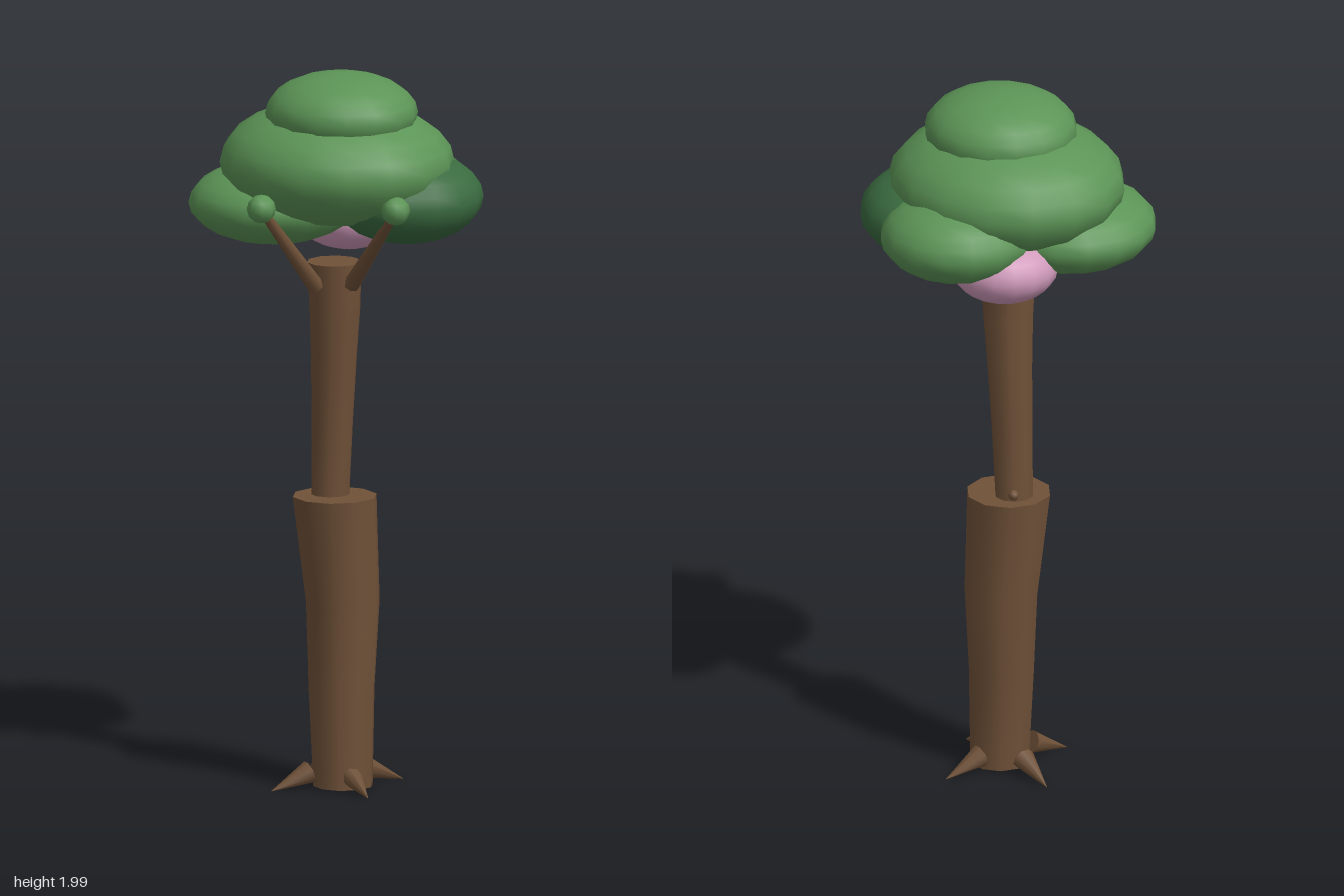
import * as THREE from 'three';
import { toCreasedNormals } from 'three/addons/utils/BufferGeometryUtils.js';

const paint = (name, color) => {
  const m = new THREE.MeshStandardMaterial({ color });
  m.name = name;
  return m;
};

export function createModel() {
  const tree = new THREE.Group();
  tree.name = 'tree';
  const bark = paint('bark brown', 0x6f5138);
  const leaf = paint('leaf green', 0x5c9456);
  const darkLeaf = paint('dark leaf green', 0x3a6b40);
  const blossom = paint('blossom pink', 0xd09abb);

  const add = (name, geometry, material) => {
    const mesh = new THREE.Mesh(geometry, material);
    mesh.name = name;
    tree.add(mesh);
    return mesh;
  };

  // Crooked log through rings of [x, y, z, radius]
  const log = (name, rings) => {
    const n = rings.length - 1;
    const geo = new THREE.CylinderGeometry(1, 1, 1, 10, n);
    const p = geo.attributes.position;
    for (let i = 0; i < p.count; i++) {
      const [x, y, z, r] = rings[Math.round((p.getY(i) + 0.5) * n)];
      p.setXYZ(i, x + p.getX(i) * r, y, z + p.getZ(i) * r);
    }
    return add(name, toCreasedNormals(geo, 0.9), bark);
  };

  // Tapered rod between two points
  const rod = (name, from, to, r0, r1, sides) => {
    const a = new THREE.Vector3(...from), b = new THREE.Vector3(...to);
    const dir = b.clone().sub(a);
    const mesh = add(name, new THREE.CylinderGeometry(r1, r0, dir.length(), sides), bark);
    mesh.position.copy(a).add(b).multiplyScalar(0.5);
    mesh.quaternion.setFromUnitVectors(new THREE.Vector3(0, 1, 0), dir.normalize());
    return mesh;
  };

  // Flattened ball
  const blob = (name, [x, y, z], [rx, ry, rz], material, w = 16, h = 12) => {
    const mesh = add(name, new THREE.SphereGeometry(1, w, h), material);
    mesh.position.set(x, y, z);
    mesh.scale.set(rx, ry, rz);
    return mesh;
  };

  // Trunk in two stacked sections
  log('lowerTrunk', [
    [0.035, 0.01, 0.034, 0.083],
    [0.028, 0.28, 0.032, 0.092],
    [0.02, 0.52, 0.018, 0.103],
    [0.007, 0.815, 0.037, 0.117],
  ]);
  log('upperTrunk', [
    [-0.018, 0.8, 0.027, 0.053],
    [-0.008, 1.02, 0.03, 0.058],
    [0.002, 1.2, 0.034, 0.064],
    [0.012, 1.34, 0.041, 0.071],
    [0.012, 1.47, 0.044, 0.076],
  ]);
  blob('trunkKnot', [-0.045, 0.835, -0.018], [0.015, 0.015, 0.015], bark, 8, 6);

  // Four pointed roots around the base
  for (let i = 0; i < 4; i++) {
    const a = 0.4 + i * Math.PI / 2;
    const at = (d, y) => [0.01 + Math.cos(a) * d, y, 0.03 + Math.sin(a) * d];
    rod('root', at(0.083, 0.05), at(0.198, 0.006), 0.032, 0.001, 8);
  }

  // Branches with leaf buds at their tips
  rod('frontBranch', [0.008, 1.41, 0.115], [0.01, 1.66, 0.34], 0.024, 0.012, 8);
  rod('sideBranch', [0.08, 1.415, 0.05], [0.304, 1.66, 0.116], 0.024, 0.012, 8);
  blob('frontBud', [0.012, 1.662, 0.342], [0.04, 0.04, 0.04], leaf, 8, 6);
  blob('sideBud', [0.304, 1.662, 0.118], [0.04, 0.04, 0.04], leaf, 8, 6);

  // Canopy
  blob('mainCanopy', [0.006, 1.745, 0.026], [0.332, 0.17, 0.31], leaf);
  blob('topCanopy', [0.035, 1.888, 0.04], [0.212, 0.112, 0.206], leaf);
  blob('rightLobe', [-0.153, 1.625, 0.108], [0.232, 0.112, 0.235], leaf);
  blob('backLobe', [0.038, 1.65, -0.165], [0.215, 0.12, 0.22], leaf);
  blob('leftLobe', [0.18, 1.655, -0.07], [0.2, 0.125, 0.215], darkLeaf);
  blob('blossomCluster', [-0.082, 1.566, -0.12], [0.148, 0.097, 0.148], blossom);

  return tree;
}
